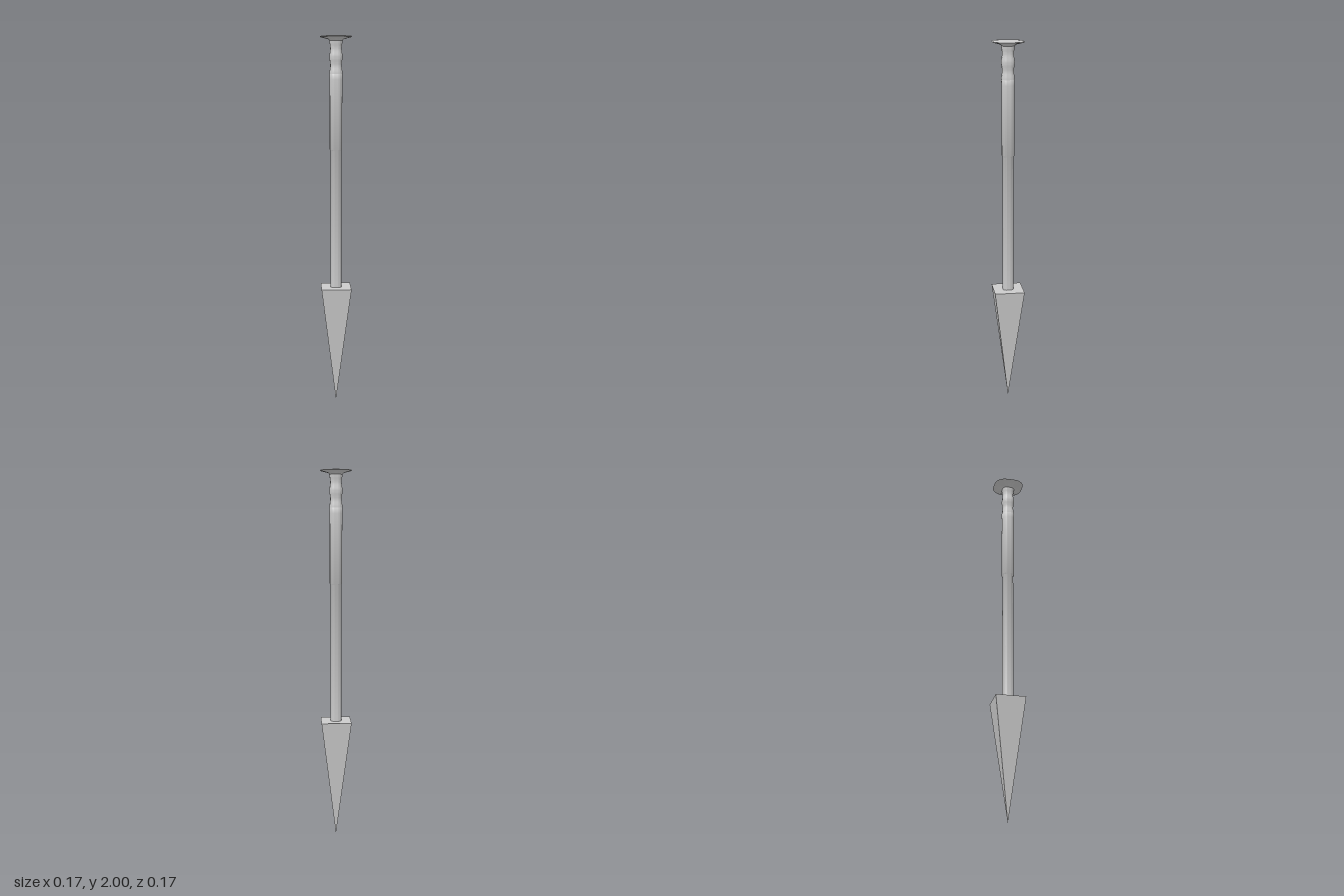
import * as THREE from 'three';
import { mergeVertices, toCreasedNormals } from 'three/addons/utils/BufferGeometryUtils.js';

const material = new THREE.MeshStandardMaterial({ color: 0xcccccc });

// Distance to the edge of a rounded square of half width 1, along an angle
function roundedSquare(angle, flat = 0.27) {
  const c = Math.abs(Math.cos(angle)), s = Math.abs(Math.sin(angle));
  const big = Math.max(c, s), small = Math.min(c, s);
  if (small <= flat * big) return 1 / big;
  const b = flat * (c + s);
  return b + Math.sqrt(b * b - 2 * flat * flat + (1 - flat) ** 2);
}

// Turned profile [half width, y] whose section is a rounded square
function turned(name, profile) {
  let geometry = new THREE.LatheGeometry(profile.map(p => new THREE.Vector2(...p)), 48);
  const pos = geometry.attributes.position;
  for (let i = 0; i < pos.count; i++) {
    const x = pos.getX(i), z = pos.getZ(i);
    const k = roundedSquare(Math.atan2(z, x));
    pos.setX(i, x * k);
    pos.setZ(i, z * k);
  }
  geometry.deleteAttribute('uv');
  geometry.deleteAttribute('normal');
  geometry = toCreasedNormals(mergeVertices(geometry, 1e-5), Math.PI / 4);
  const mesh = new THREE.Mesh(geometry, material);
  mesh.name = name;
  return mesh;
}

export function createModel() {
  const group = new THREE.Group();
  group.name = 'stake';

  // Four-sided point
  const height = 0.65;
  const cone = new THREE.ConeGeometry(0.081 * Math.SQRT2, height, 4, 1);
  cone.rotateX(Math.PI).rotateY(Math.PI / 4).translate(0, height / 2, 0);
  const point = new THREE.Mesh(toCreasedNormals(cone, 0.3), material);
  point.name = 'point';
  group.add(point);

  // Shaft, slightly thicker in its upper part
  group.add(turned('shaft', [
    [0.029, 0.645], [0.029, 1.395], [0.033, 1.4], [0.033, 1.77], [0.034, 1.8], [0.03, 1.806],
  ]));

  // Grip with soft swellings
  const grip = [];
  for (let i = 0; i <= 24; i++) {
    const t = i / 24;
    grip.push([0.032 + 0.0022 * Math.cos(t * Math.PI * 4), 1.8 + 0.175 * t]);
  }
  group.add(turned('grip', grip));

  // Flat mushroom head
  group.add(turned('head', [
    [0.033, 1.97], [0.04, 1.979], [0.079, 1.989], [0.083, 1.993],
    [0.08, 1.9955], [0.055, 1.998], [0.028, 1.9995], [0, 2],
  ]));

  return group;
}
